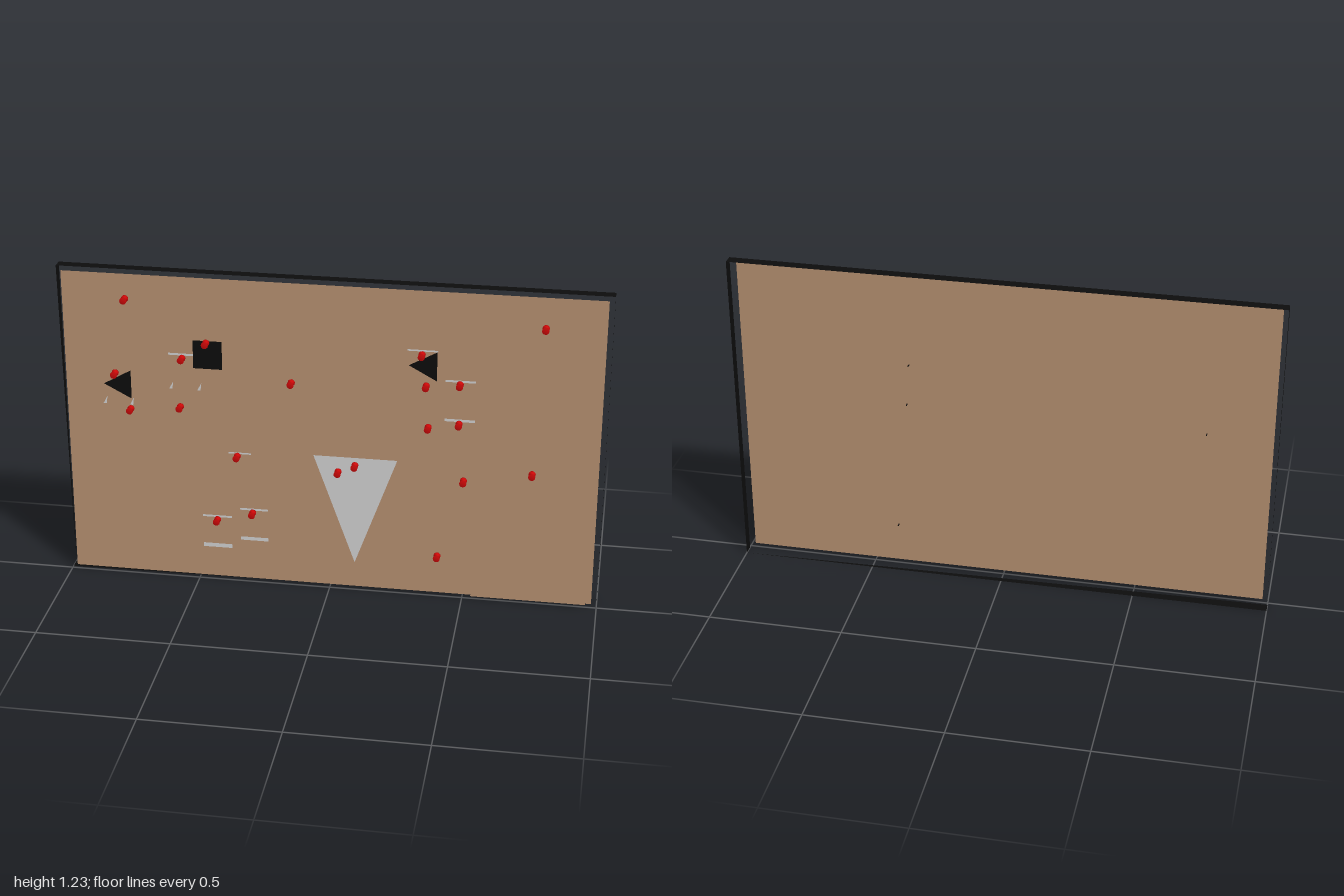
import * as THREE from 'three';

const mat = (name, color) => {
  const m = new THREE.MeshStandardMaterial({ color, side: THREE.DoubleSide });
  m.name = name;
  return m;
};

export function createModel() {
  const group = new THREE.Group();
  const cork = mat('cork brown', 0xb58f70);
  const black = mat('black', 0x0c0c0c);
  const paper = mat('paper grey', 0xd0d0d0);
  const red = mat('pin red', 0xcc0808);

  const add = (name, geometry, material, parent = group) => {
    const mesh = new THREE.Mesh(geometry, material);
    mesh.name = name;
    parent.add(mesh);
    return mesh;
  };
  // Flat sheet parallel to the board
  const sheet = (name, points, z, material) => {
    const shape = new THREE.Shape(points.map(([x, y]) => new THREE.Vector2(x, y)));
    add(name, new THREE.ShapeGeometry(shape), material).position.z = z;
  };
  const rect = (x0, y0, x1, y1) => [[x0, y0], [x1, y0], [x1, y1], [x0, y1]];

  // Cork board
  sheet('board', rect(-0.98, 0.015, 0.98, 1.215), 0, cork);

  // Thin frame walls set behind the board
  const F = -0.012, B = -0.052, H = 1.228;
  const wall = (name, corners) => {
    const g = new THREE.BufferGeometry();
    g.setAttribute('position', new THREE.Float32BufferAttribute(corners.flat(), 3));
    g.setIndex(corners.length === 4 ? [0, 1, 2, 0, 2, 3] : [0, 1, 2]);
    g.computeVertexNormals();
    add(name, g, black);
  };
  wall('frameTop', [[-1, H, F], [1, H, F], [1, H, B], [-1, H, B]]);
  wall('frameLeft', [[1, 0, F], [1, 0, B], [1, H, B], [1, H, F]]);
  wall('frameRight', [[-1, 0, B], [-1, H, F], [-1, H, B]]);
  wall('frameBottom', [[-1, 0, F], [-1, 0, B], [1, 0, B]]);

  // Brown, grey and black sheets
  sheet('brownSheet', rect(-0.955, 0.605, -0.525, 1.155), 0.004, cork);
  sheet('brownTriangle', [[0.53, 0.012], [0.96, 0.012], [0.742, 0.555]], 0.006, cork);
  sheet('greyTriangle', [[0.095, 0.118], [0.25, 0.55], [-0.06, 0.55]], 0.004, paper);
  sheet('blackSquare', rect(-0.5, 0.868, -0.393, 0.977), 0.007, black);
  sheet('blackTriangleRight', [[-0.837, 0.785], [-0.735, 0.731], [-0.735, 0.843]], 0.007, black);
  sheet('blackTriangleLeft', [[0.286, 0.932], [0.388, 0.876], [0.388, 0.988]], 0.007, black);

  // Narrow paper strips: centre x, centre y, width, height
  [
    [-0.425, 0.147, 0.11, 0.016], [-0.285, 0.185, 0.105, 0.014],
    [-0.425, 0.27, 0.11, 0.008], [-0.285, 0.308, 0.105, 0.008],
    [-0.335, 0.537, 0.085, 0.006], [0.473, 0.88, 0.11, 0.008],
    [0.473, 0.727, 0.11, 0.01], [0.335, 0.99, 0.11, 0.006],
    [-0.537, 0.918, 0.11, 0.008],
  ].forEach(([x, y, w, h]) =>
    sheet('paperStrip', rect(x - w / 2, y - h / 2, x + w / 2, y + h / 2), 0.005, paper));

  // Small paper corners
  [[-0.835, 0.72], [-0.735, 0.72], [-0.585, 0.795], [-0.48, 0.795]].forEach(([x, y]) =>
    sheet('paperCorner', [[x - 0.008, y - 0.015], [x + 0.004, y - 0.015], [x + 0.008, y + 0.015]], 0.005, paper));

  // Push pins: spool head and needle; pushed pins go through the board
  const profile = [[0, 0], [0.013, 0], [0.013, 0.004], [0.008, 0.009], [0.008, 0.02],
    [0.013, 0.025], [0.013, 0.029], [0, 0.029]].map(([r, y]) => new THREE.Vector2(r, y));
  const headGeo = new THREE.LatheGeometry(profile, 12).rotateX(Math.PI / 2);
  const needleGeo = new THREE.CylinderGeometry(0.002, 0.002, 0.018, 6)
    .rotateX(Math.PI / 2).translate(0, 0, -0.008);
  const pin = (z) => ([x, y]) => {
    const p = new THREE.Group();
    p.name = 'pushPin';
    p.position.set(x, y, z);
    add('pinHead', headGeo, red, p);
    add('pinNeedle', needleGeo, black, p);
    group.add(p);
  };
  [
    [-0.74, 1.13], [0.767, 1.11], [-0.447, 0.977], [-0.537, 0.912], [-0.788, 0.838],
    [-0.548, 0.72], [-0.136, 0.843], [0.335, 0.983], [0.473, 0.877], [0.473, 0.723],
    [0.495, 0.498], [-0.34, 0.535], [-0.286, 0.305], [-0.42, 0.267], [0.035, 0.5],
    [0.097, 0.53], [0.742, 0.543],
  ].forEach(pin(0.023));
  [[-0.74, 0.69], [0.35, 0.855], [0.36, 0.693], [0.404, 0.172]].forEach(pin(0.003));

  return group;
}
